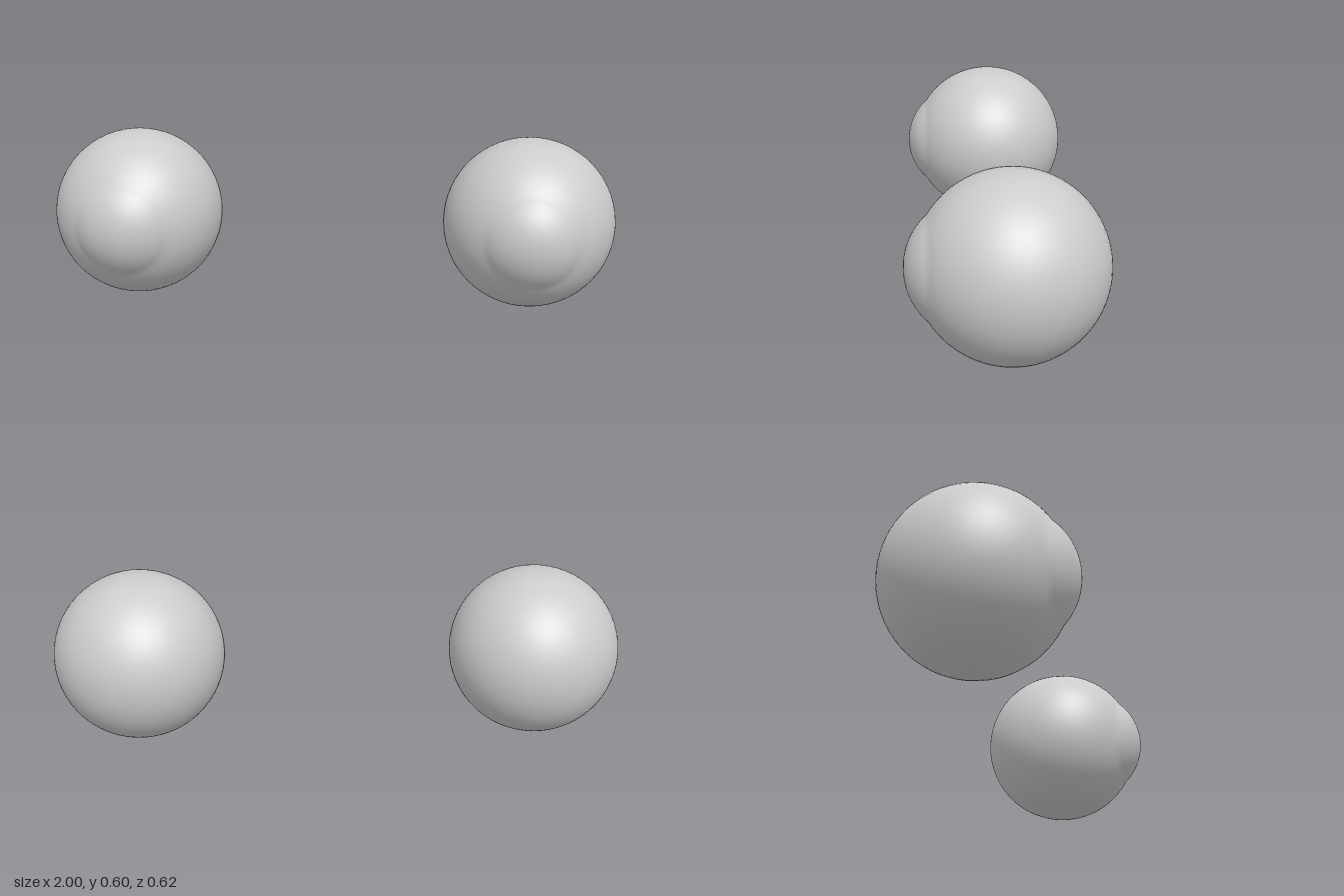
import * as THREE from 'three';

const R = 0.299;          // eyeball radius
const CENTER_Z = -0.013;  // eyeball centre
const RIM = 0.161;        // radius where the cornea meets the ball
const APEX = 0.325;       // cornea tip, measured from the ball centre

// Half outline from the back pole, round the ball, then over the cornea bulge
function eyeProfile() {
  const points = [];
  const rimAngle = Math.PI - Math.asin(RIM / R);
  for (let i = 0; i <= 40; i++) {
    const a = (i / 40) * rimAngle;
    points.push(new THREE.Vector2(R * Math.sin(a), -R * Math.cos(a)));
  }
  const rise = APEX - Math.sqrt(R * R - RIM * RIM);
  const capR = (RIM * RIM + rise * rise) / (2 * rise);
  const capAngle = Math.asin(RIM / capR);
  for (let i = 1; i <= 14; i++) {
    const a = capAngle * (1 - i / 14);
    points.push(new THREE.Vector2(capR * Math.sin(a), APEX - capR + capR * Math.cos(a)));
  }
  return points;
}

export function createModel() {
  const group = new THREE.Group();
  group.name = 'eyes';
  const material = new THREE.MeshStandardMaterial({ color: 0xcccccc });
  // Turn the lathe axis to face the front
  const geometry = new THREE.LatheGeometry(eyeProfile(), 64).rotateX(Math.PI / 2);

  // Matching pair of eyeballs with bulging corneas
  for (const side of [1, -1]) {
    const eye = new THREE.Mesh(geometry, material);
    eye.name = side > 0 ? 'leftEyeball' : 'rightEyeball';
    eye.position.set(side * (1 - R), R, CENTER_Z);
    group.add(eye);
  }
  return group;
}
